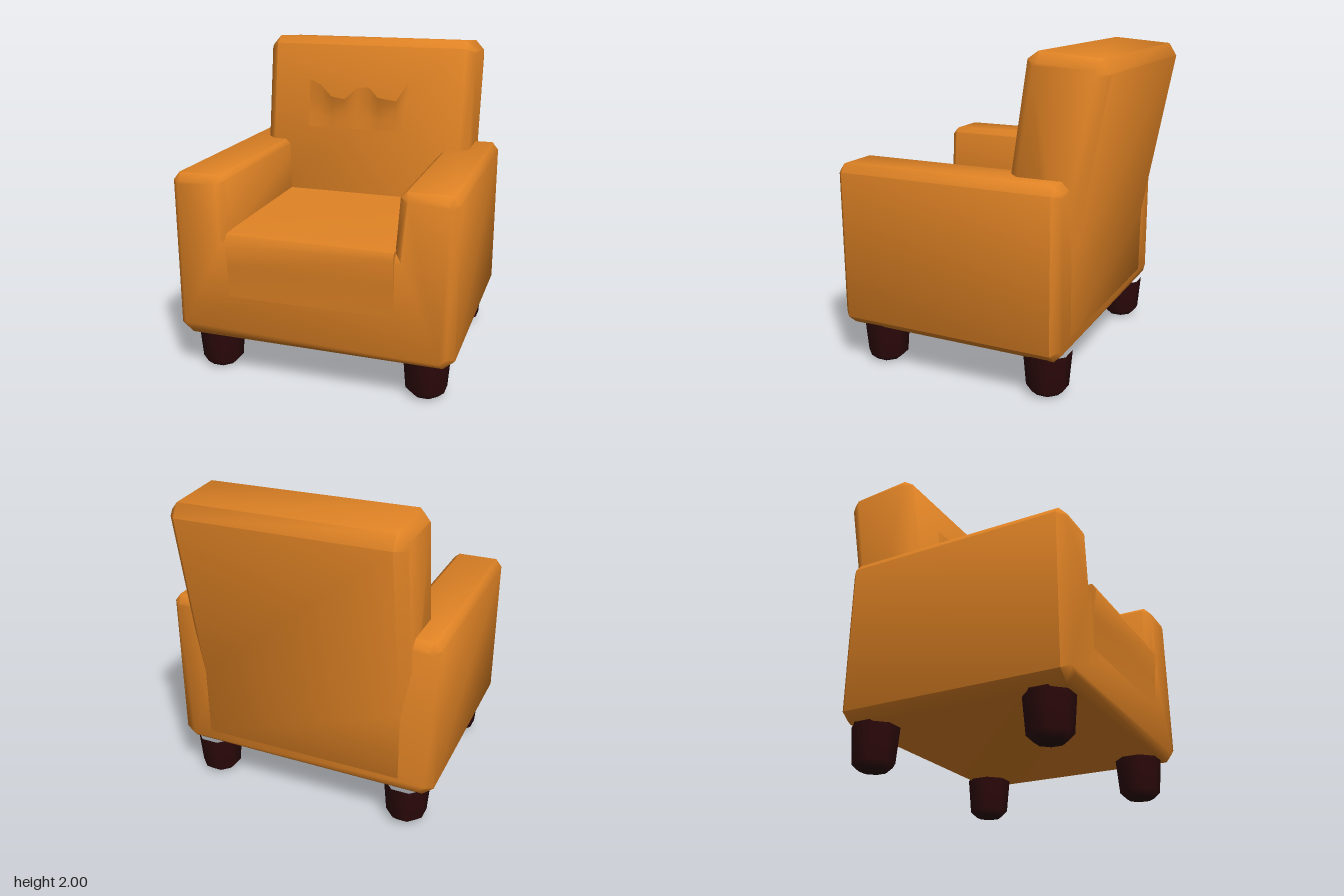
import * as THREE from 'three';
import { toCreasedNormals } from 'three/addons/utils/BufferGeometryUtils.js';

const fabric = new THREE.MeshStandardMaterial({ color: 0xe08325, side: THREE.DoubleSide });
fabric.name = 'orange fabric';
const wood = new THREE.MeshStandardMaterial({ color: 0x2e090b });
wood.name = 'dark wood';

function part(name, geometry, material) {
  const mesh = new THREE.Mesh(geometry, material);
  mesh.name = name;
  return mesh;
}

// Prism with chamfered ends, centred on its depth; chamfers are shaded softly
function prism(points, depth, chamfer) {
  const shape = new THREE.Shape(points.map(([x, y]) => new THREE.Vector2(x, y)));
  const g = new THREE.ExtrudeGeometry(shape, {
    depth: depth - 2 * chamfer, bevelEnabled: chamfer > 0, bevelSegments: 1,
    bevelSize: chamfer, bevelThickness: chamfer, bevelOffset: -chamfer,
  });
  g.translate(0, 0, chamfer - depth / 2);
  return toCreasedNormals(g, 0.9);
}

// Side profile given as [z, y], extruded across the width
function sideProfile(points, width, chamfer) {
  return prism(points.map(([z, y]) => [-z, y]).reverse(), width, chamfer).rotateY(Math.PI / 2);
}

// z of the slanted front of the backrest at height y
const backFront = (y) => -0.21 - (y - 0.94) * 0.147;

export function createModel() {
  const chair = new THREE.Group();
  chair.name = 'armchair';

  // Both arms and the base as one U-shaped body
  const half = [[0.8, 0.26], [0.87, 0.32], [0.87, 1.25], [0.83, 1.3], [0.57, 1.3], [0.535, 1.27], [0.51, 0.94]];
  const outline = [...half, ...half.map(([x, y]) => [-x, y]).reverse()];
  const body = part('armsAndBase', prism(outline, 1.46, 0.045), fabric);
  body.position.z = 0.085;
  chair.add(body);

  // Seat with a slightly bulging front edge
  chair.add(part('seat', sideProfile([
    [-0.5, 0.5], [0.805, 0.36], [0.825, 0.75], [0.845, 0.91], [0.825, 0.955], [0.72, 0.965], [-0.5, 0.965],
  ], 1.03, 0), fabric));

  // Leaning backrest
  chair.add(part('backrest', sideProfile([
    [-0.57, 0.3], [-0.645, 0.36], [-0.65, 0.8], [-0.85, 1.89], [-0.8, 1.97],
    [-0.43, 2], [-0.365, 1.955], [-0.21, 0.94], [-0.3, 0.3],
  ], 1.43, 0.06), fabric));

  // Crumpled cover flap on the front of the backrest: [x, lip height, lip bulge]
  const lip = [
    [-0.4, 1.72, 0.004], [-0.31, 1.69, 0.03], [-0.23, 1.62, 0.05], [-0.13, 1.605, 0.06], [-0.05, 1.68, 0.025],
    [0.03, 1.685, 0.025], [0.1, 1.625, 0.05], [0.23, 1.61, 0.06], [0.29, 1.72, 0.004],
  ];
  const rows = [[0, 1], [0.35, 0.45], [0.7, 0.2], [1, 0.03]];
  const verts = [], faces = [], n = lip.length;
  rows.forEach(([t, bulge], r) => lip.forEach(([x, top, out], c) => {
    const y = THREE.MathUtils.lerp(top, 1.4, t);
    verts.push(x, y, backFront(y) + 0.003 + out * bulge);
    if (r && c) {
      const d = r * n + c, u = d - n;
      faces.push(u - 1, d - 1, u, u, d - 1, d);
    }
  }));
  const flap = new THREE.BufferGeometry();
  flap.setAttribute('position', new THREE.Float32BufferAttribute(verts, 3));
  flap.setIndex(faces);
  flap.computeVertexNormals();
  chair.add(part('coverFlap', flap, fabric));

  // Four stubby tapered legs
  const legProfile = [[0, 0], [0.085, 0.005], [0.128, 0.045], [0.147, 0.27]]
    .map(([r, y]) => new THREE.Vector2(r, y));
  const legGeometry = new THREE.LatheGeometry(legProfile, 8).rotateY(Math.PI / 8);
  for (const [side, x] of [['left', 0.675], ['right', -0.675]]) {
    for (const [end, z] of [['Front', 0.615], ['Back', -0.51]]) {
      const leg = part(side + end + 'Leg', legGeometry, wood);
      leg.position.set(x, 0, z);
      chair.add(leg);
    }
  }
  return chair;
}
